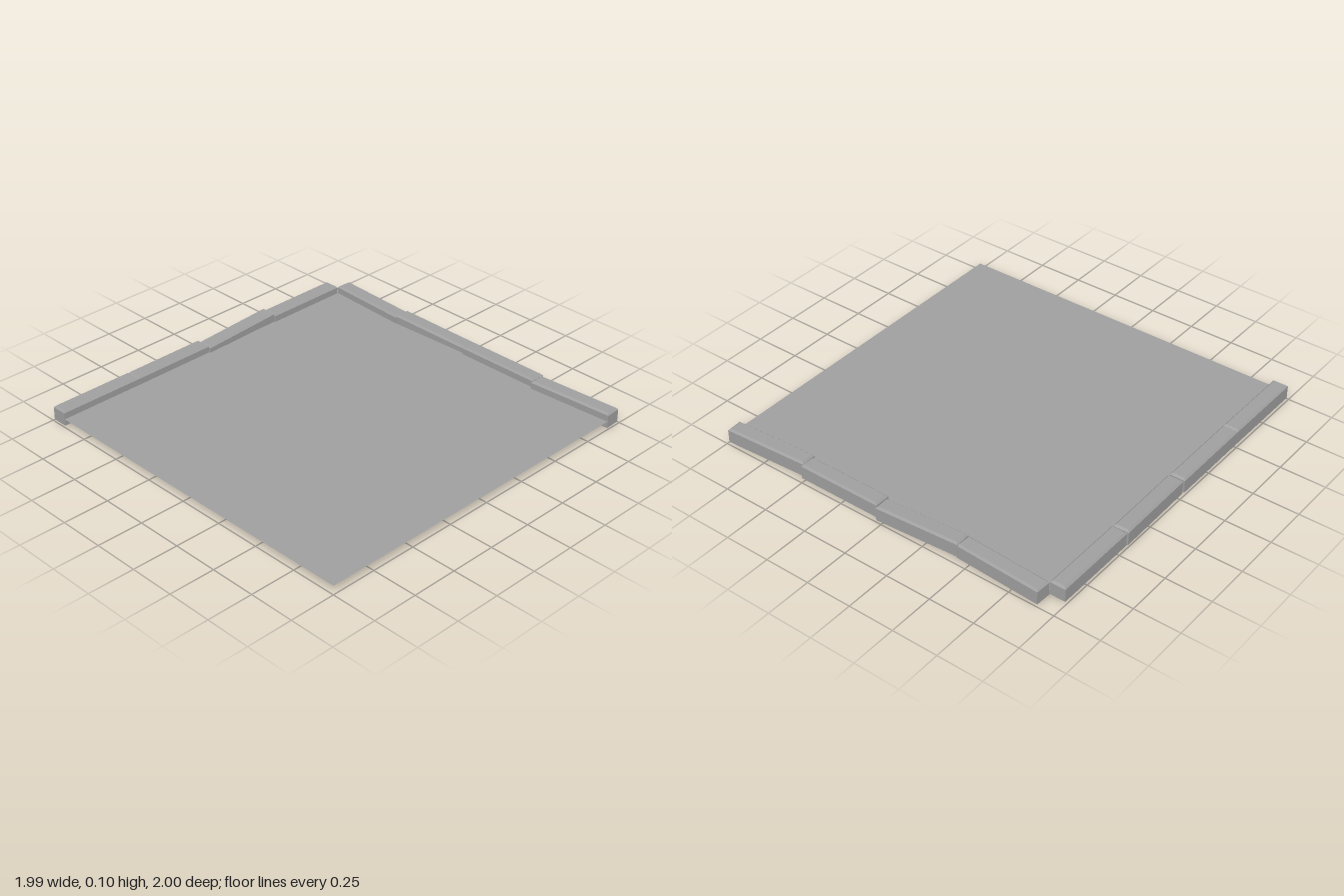
import * as THREE from 'three';

// Hollow kerb stone lying along x: bevelled top, open underside
function kerbStoneGeometry(length, height, depth, bevel) {
  const geometry = new THREE.BoxGeometry(length, height, depth, 1, 2, 1);
  const pos = geometry.attributes.position;
  for (let i = 0; i < pos.count; i++) {
    const y = pos.getY(i);
    if (Math.abs(y) < 0.001) {
      pos.setY(i, height / 2 - bevel);
    } else if (y > 0) {
      pos.setX(i, pos.getX(i) - Math.sign(pos.getX(i)) * bevel);
      pos.setZ(i, pos.getZ(i) - Math.sign(pos.getZ(i)) * bevel);
    }
  }
  // Leave out the bottom face
  geometry.setIndex([...geometry.index.array].filter((_, i) => i < 30 || i >= 36));
  geometry.clearGroups();
  geometry.computeVertexNormals();
  return geometry;
}

export function createModel() {
  const model = new THREE.Group();
  model.name = 'groundWithKerb';
  const material = new THREE.MeshStandardMaterial({
    color: 0x9f9f9f, flatShading: true, side: THREE.DoubleSide,
  });

  // Thin square ground sheet, meeting the stones at mid-height
  const ground = new THREE.Mesh(new THREE.PlaneGeometry(1.907, 1.907), material);
  ground.name = 'ground';
  ground.rotation.x = -Math.PI / 2;
  ground.position.set(-0.042, 0.045, 0.042);
  model.add(ground);

  const stone = kerbStoneGeometry(0.476, 0.081, 0.085, 0.01);

  // Each stone: [x, z, turn, tilt], slightly crooked
  function addRow(name, stones, angle) {
    const row = new THREE.Group();
    row.name = name;
    stones.forEach(([x, z, turn, tilt], i) => {
      const mesh = new THREE.Mesh(stone, material);
      mesh.name = `${name}Stone${i + 1}`;
      mesh.position.set(x, 0.049, z);
      mesh.rotation.set(0, angle + turn, tilt, 'YXZ');
      row.add(mesh);
    });
    model.add(row);
  }

  addRow('backKerb', [
    [-0.758, -0.948, 0, 0],
    [-0.283, -0.949, 0.006, 0],
    [0.195, -0.95, 0.034, 0.034],
    [0.667, -0.949, 0, 0],
  ], 0);

  addRow('leftKerb', [
    [0.939, -0.668, -0.05, 0],
    [0.938, -0.197, 0.038, 0.034],
    [0.937, 0.28, 0, 0],
    [0.935, 0.758, 0.055, 0],
  ], Math.PI / 2);

  return model;
}
